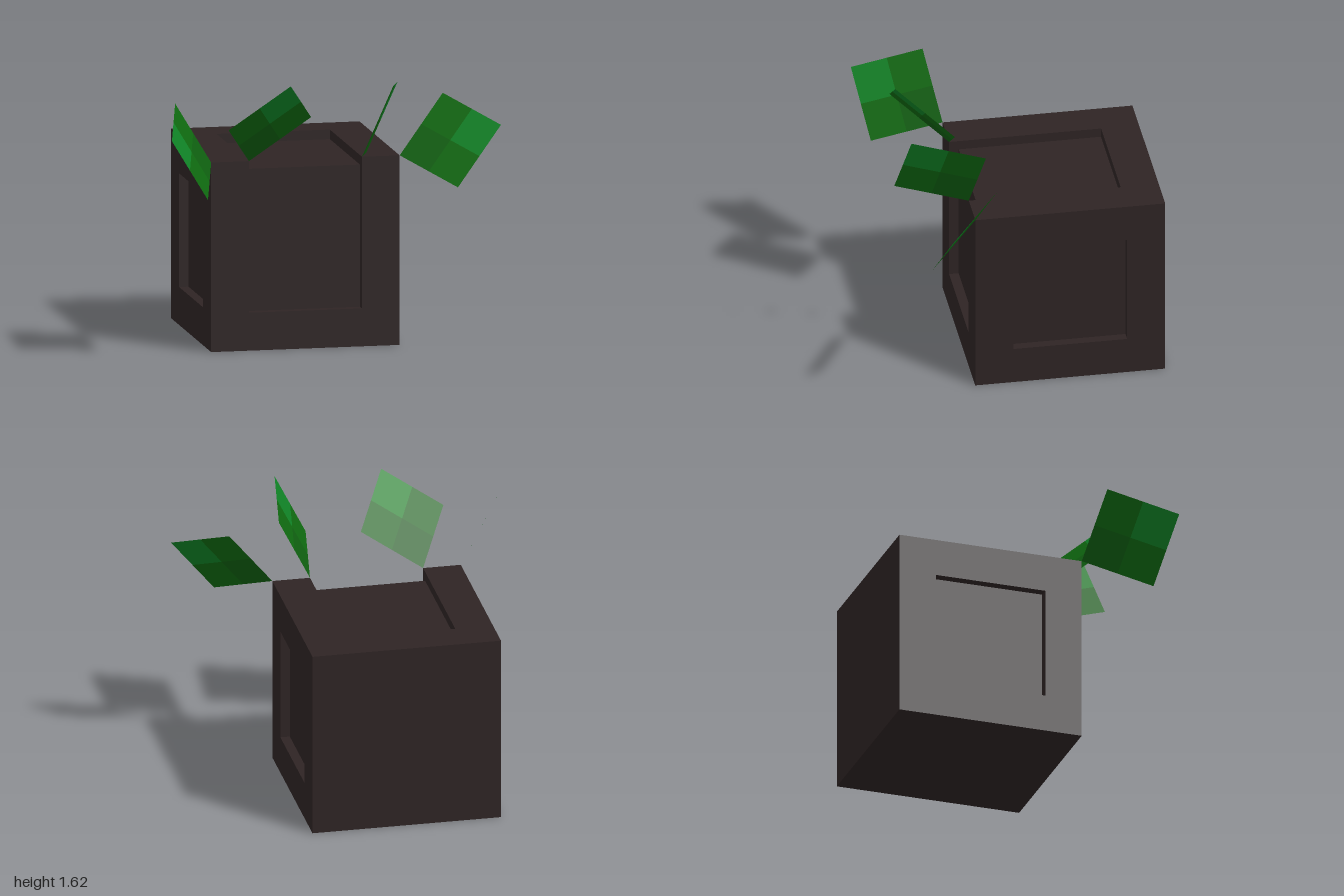
import * as THREE from 'three';

const mat = (name, color, side = THREE.FrontSide) => {
  const m = new THREE.MeshStandardMaterial({ color, side });
  m.name = name;
  return m;
};

export function createModel() {
  const model = new THREE.Group();
  model.name = 'planterBlock';

  const bark = mat('darkBark', 0x2e2424);
  const leafMats = [
    mat('leafBaseGreen', 0x0f6010, THREE.DoubleSide),
    mat('leafMidGreen', 0x0f6a10, THREE.DoubleSide),
    mat('leafTipGreen', 0x108426, THREE.DoubleSide),
  ];

  // Block extents, border width of the panels and their recess depth
  const x0 = -0.67, x1 = 0.445, top = 1.115, z0 = -0.803, z1 = 0.312;
  const w = 0.223, d = 0.056;

  const add = (name, geometry) => {
    const mesh = new THREE.Mesh(geometry, bark);
    mesh.name = name;
    model.add(mesh);
  };
  const polygon = pts => pts.map(p => new THREE.Vector2(...p));
  const extrude = shape => new THREE.ExtrudeGeometry(shape, { depth: d, bevelEnabled: false });

  // Core whose front, top and sides form the recessed panels
  const core = new THREE.BoxGeometry(x1 - x0 - 2 * d, top - d, z1 - d - z0);
  core.translate((x0 + x1) / 2, (top - d) / 2, (z0 + z1 - d) / 2);
  add('blockCore', core);

  // Closed square frames on both sides
  const sideFrame = () => {
    const shape = new THREE.Shape(polygon([[z0, 0], [z1, 0], [z1, top], [z0, top]]));
    shape.holes.push(new THREE.Path(polygon([
      [z0 + w, w], [z0 + w, top - w], [z1 - w, top - w], [z1 - w, w]])));
    return extrude(shape).rotateY(-Math.PI / 2);
  };
  add('leftSideFrame', sideFrame().translate(x1, 0, 0));
  add('rightSideFrame', sideFrame().translate(x0 + d, 0, 0));

  // U-shaped frames: front and top panels join across the shared edge
  const uFrame = (closed, open) => extrude(new THREE.Shape(polygon([
    [x0 + d, closed], [x1 - d, closed], [x1 - d, open], [x1 - w, open],
    [x1 - w, closed + w], [x0 + w, closed + w], [x0 + w, open], [x0 + d, open]])));
  add('frontFrame', uFrame(0, top).translate(0, 0, z1 - d));
  add('topFrame', uFrame(z0, z1 - d).rotateX(Math.PI / 2).translate(0, top, 0));

  // Square leaves: stem corner and its two neighbouring corners
  const leaves = [
    [[x0, top, z1], [-0.775, 0.97, 0.715], [-0.9, 1.485, 0.39]],
    [[x0 + w, top, z1], [-0.085, 1.365, 0.34], [-0.635, 1.36, 0.63]],
    [[x1 - w, top, z1], [0.42, 1.51, 0.245], [0.157, 1.22, 0.738]],
    [[x1, top, z1], [0.725, 0.97, 0.615], [0.717, 1.458, 0.23]],
  ];
  leaves.forEach((corners, i) => {
    const [stem, a, b] = corners.map(c => new THREE.Vector3(...c));
    const u = a.sub(stem), v = b.sub(stem);
    const leaf = new THREE.Group();
    leaf.name = `leaf${i + 1}`;
    // Four cells, shaded from stem to tip
    for (const s of [0, 1]) for (const t of [0, 1]) {
      const cell = new THREE.PlaneGeometry(1, 1);
      cell.translate(0.5 + s, 0.5 + t, 0).scale(0.5, 0.5, 1);
      const normal = u.clone().cross(v).normalize();
      cell.applyMatrix4(new THREE.Matrix4().makeBasis(u, v, normal).setPosition(stem));
      cell.computeVertexNormals();
      const mesh = new THREE.Mesh(cell, leafMats[s + t]);
      mesh.name = ['leafBase', 'leafMiddle', 'leafTip'][s + t];
      leaf.add(mesh);
    }
    model.add(leaf);
  });

  return model;
}
